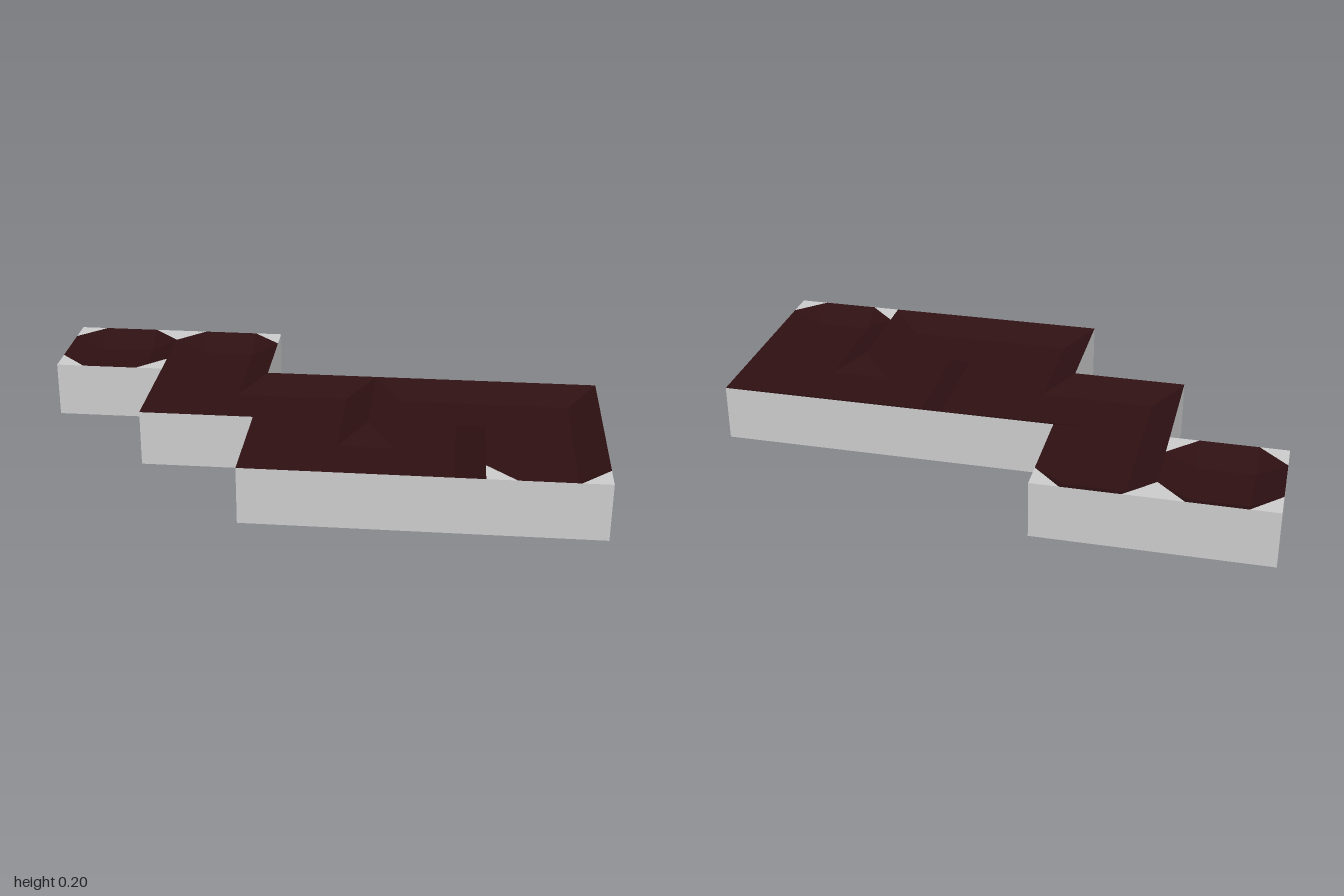
import * as THREE from 'three';

const H = 0.2;       // rim height
const FLOOR = 0.15;  // channel floor height
const R = 0.2;       // half a cell
const I = 0.1;       // half the flat floor of a cell

// Directions: 0 back, 1 right-hand (+x), 2 front, 3 left-hand (-x)
const DIRS = [[0, -1], [1, 0], [0, 1], [-1, 0]];

// Each cell: column, row, and the directions in which its channel is open
const CELLS = [
  [0, 0, []],
  [1, 0, [2]],
  [1, 1, [0, 1]],
  [2, 1, [3, 2]],
  [2, 2, [0, 1]],
  [3, 2, [3, 0]],
  [3, 1, [2, 1]],
  [4, 1, [3, 2]],
  [4, 2, [0]],
];

// Collects polygons (counter-clockwise corners) into a flat-shaded mesh
function facetBuilder() {
  const positions = [];
  return {
    add(...p) {
      for (let i = 1; i < p.length - 1; i++) positions.push(...p[0], ...p[i], ...p[i + 1]);
    },
    mesh(name, color) {
      const g = new THREE.BufferGeometry();
      g.setAttribute('position', new THREE.Float32BufferAttribute(positions, 3));
      g.computeVertexNormals();
      const m = new THREE.Mesh(g, new THREE.MeshStandardMaterial({ color, flatShading: true }));
      m.name = name;
      return m;
    },
  };
}

export function createModel() {
  const body = facetBuilder();
  const channel = facetBuilder();
  const occupied = new Set(CELLS.map(([c, r]) => `${c},${r}`));

  for (const [col, row, open] of CELLS) {
    const cx = (col - 2) * 2 * R;
    const cz = (row - 1) * 2 * R;
    const deadEnd = open.length < 2;
    const edgeY = (k) => (open.includes(k) ? FLOOR : H);

    // Point a along direction k and b along the next direction
    const at = (k, a, b, y) => {
      const d = DIRS[k], t = DIRS[(k + 1) % 4];
      return [cx + d[0] * a + t[0] * b, y, cz + d[1] * a + t[1] * b];
    };

    // Flat floor and underside
    channel.add(at(0, -I, -I, FLOOR), at(0, -I, I, FLOOR), at(0, I, I, FLOOR), at(0, I, -I, FLOOR));
    body.add(at(0, R, -R, 0), at(0, R, R, 0), at(0, -R, R, 0), at(0, -R, -R, 0));

    for (let k = 0; k < 4; k++) {
      const next = (k + 1) % 4;

      // Sloping bank, or level floor where the channel continues
      channel.add(at(k, I, -I, FLOOR), at(k, I, I, FLOOR), at(k, R, I, edgeY(k)), at(k, R, -I, edgeY(k)));

      // Corner: chamfered with a level cap in dead ends, otherwise mitred
      const inner = at(k, I, I, FLOOR);
      const sideA = at(k, I, R, edgeY(next));
      const corner = at(k, R, R, H);
      const sideB = at(k, R, I, edgeY(k));
      if (deadEnd && !open.includes(k) && !open.includes(next)) {
        channel.add(inner, sideA, sideB);
        body.add(sideA, corner, sideB);
      } else {
        channel.add(inner, sideA, corner, sideB);
      }

      // Outer wall where there is no neighbouring cell
      if (!occupied.has(`${col + DIRS[k][0]},${row + DIRS[k][1]}`)) {
        body.add(at(k, R, R, 0), at(k, R, -R, 0), at(k, R, -R, H), at(k, R, R, H));
      }
    }
  }

  const model = new THREE.Group();
  model.name = 'channelTile';
  model.add(body.mesh('body', 0xcccccc), channel.mesh('channel', 0x2e1012));
  return model;
}
